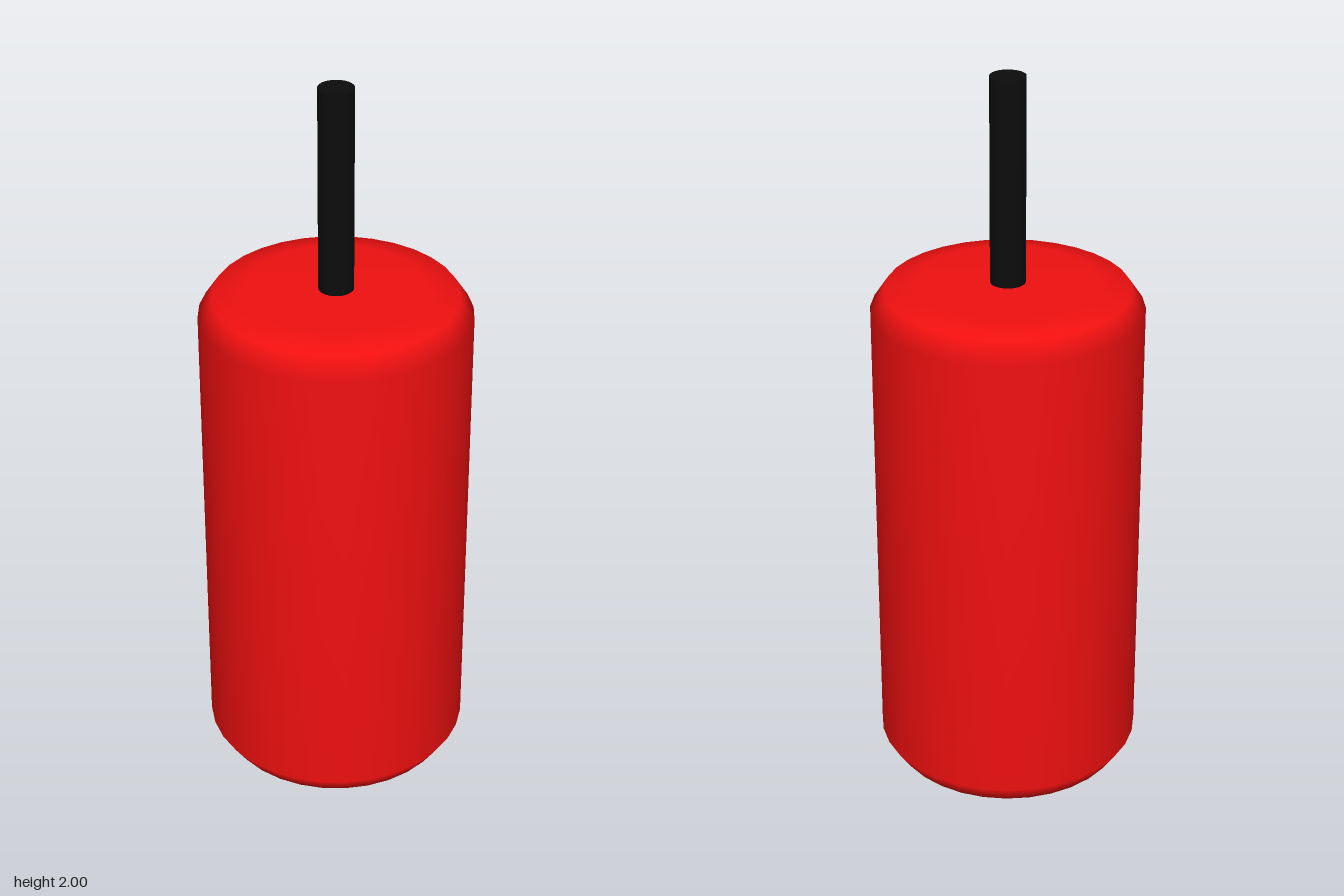
import * as THREE from 'three';

export function createModel() {
  const model = new THREE.Group();
  const add = (name, geometry, color, y = 0) => {
    const mesh = new THREE.Mesh(geometry, new THREE.MeshStandardMaterial({ color }));
    mesh.name = name;
    mesh.position.y = y;
    model.add(mesh);
  };

  // Body: bevelled cylinder, profile mirrored about its mid-height
  const height = 1.44;
  const lower = [[0, 0], [0.24, 0], [0.325, 0.018], [0.362, 0.073]];
  const upper = lower.map(([r, y]) => [r, height - y]).reverse();
  const profile = [...lower, ...upper].map(([r, y]) => new THREE.Vector2(r, y));
  add('body', new THREE.LatheGeometry(profile, 32), 0xf01010);

  // Rod: slim cylinder standing on the body's top, sunk in slightly
  const sink = 0.02;
  const rodHeight = 2 - height + sink;
  add('rod', new THREE.CylinderGeometry(0.047, 0.047, rodHeight, 32), 0x0c0c0c, 2 - rodHeight / 2);

  return model;
}
